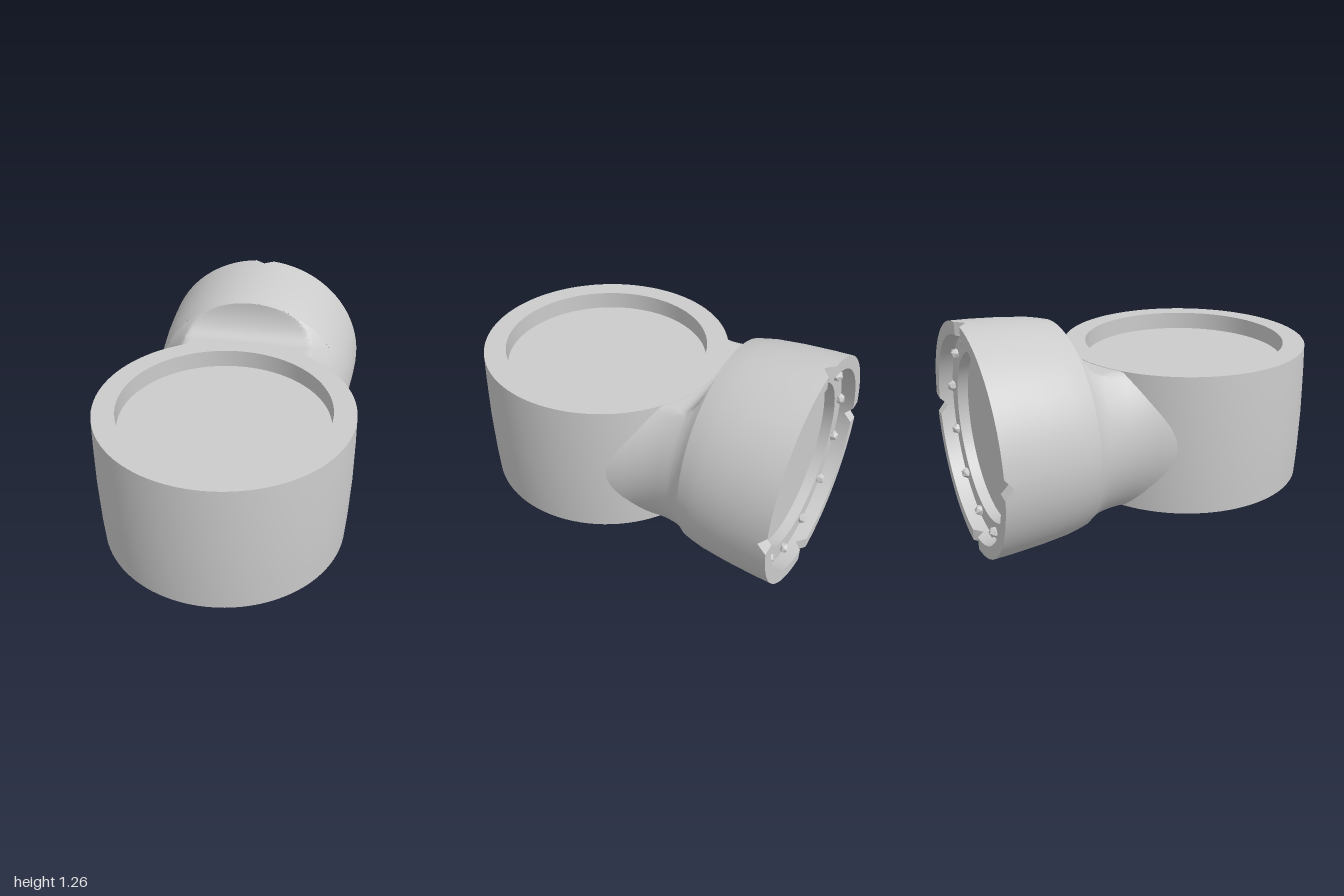
import * as THREE from 'three';
import { toCreasedNormals } from 'three/addons/utils/BufferGeometryUtils.js';

const CY = 0.633;      // height of the horizontal axis
const DRUM_Z = 0.302;  // centre of the upright drum

const material = () => new THREE.MeshStandardMaterial({ color: 0xcccccc });

function part(name, geometry, crease = 0.5) {
  const mesh = new THREE.Mesh(toCreasedNormals(geometry, crease), material());
  mesh.name = name;
  return mesh;
}

const profile = (pts) => pts.map(([r, h]) => new THREE.Vector2(r, h));

// Upright drum with a shallow round recess in its top
function makeDrum() {
  const g = new THREE.LatheGeometry(profile([
    [0, 0.248], [0.683, 0.248], [0.69, 0.4], [0.694, 0.63], [0.69, 0.87], [0.685, 1.016],
    [0.565, 1.016], [0.565, 0.915], [0, 0.915],
  ]), 96);
  g.translate(0, 0, DRUM_Z);
  return part('drum', g);
}

// Flared collar facing back: rim, bolt ledge and sunken plate
function makeCollar() {
  const g = new THREE.LatheGeometry(profile([
    [0.577, 0.49], [0.59, 0.54], [0.602, 0.6], [0.617, 0.74], [0.627, 0.9], [0.63, 1],
    [0.56, 1], [0.56, 0.92], [0.46, 0.92], [0.46, 0.86], [0, 0.86],
  ]), 144);
  g.rotateX(-Math.PI / 2);
  // V notches in the rim at the four quarter points
  const p = g.attributes.position;
  const quarter = Math.PI / 2, half = 0.0873;
  for (let i = 0; i < p.count; i++) {
    if (p.getZ(i) > -0.999) continue;
    const a = Math.atan2(p.getY(i), p.getX(i));
    const d = Math.abs(a - Math.round(a / quarter) * quarter);
    p.setZ(i, -1 + 0.045 * Math.max(0, 1 - d / half));
  }
  g.translate(0, CY, 0);
  return part('collar', g);
}

// Neck: circular sections cut flat above and below, flaring into the collar
function makeNeck() {
  const waist = new THREE.SplineCurve(profile([
    [0.05, 0.625], [0, 0.612], [-0.1, 0.575], [-0.2, 0.544], [-0.3, 0.53],
    [-0.4, 0.537], [-0.45, 0.552], [-0.49, 0.577],
  ]));
  const rows = 40, cols = 120, pos = [], index = [];
  for (let i = 0; i <= rows; i++) {
    const { x: z, y: radius } = waist.getPoint(1 - (1 - i / rows) ** 1.5);
    const t = THREE.MathUtils.clamp((-0.38 - z) / 0.11, 0, 1);
    const flat = 0.381 + 0.196 * (1 - Math.sqrt(1 - t * t));
    for (let j = 0; j <= cols; j++) {
      const a = (j / cols) * Math.PI * 2;
      const x = radius * Math.cos(a);
      let y = CY + THREE.MathUtils.clamp(radius * Math.sin(a), -flat, flat);
      // Stay below the floor of the drum recess
      if (Math.hypot(x, z - DRUM_Z) < 0.63) y = Math.min(y, 0.9);
      pos.push(x, y, z);
      if (i < rows && j < cols) {
        const k = i * (cols + 1) + j, n = k + cols + 1;
        index.push(k, n, k + 1, k + 1, n, n + 1);
      }
    }
  }
  const g = new THREE.BufferGeometry();
  g.setAttribute('position', new THREE.Float32BufferAttribute(pos, 3));
  g.setIndex(index);
  return part('neck', g, 0.6);
}

// Ring of twelve faceted bolts on the collar ledge
function makeBolts() {
  const bolts = new THREE.Group();
  bolts.name = 'bolts';
  const g = new THREE.IcosahedronGeometry(0.032, 0);
  const m = material();
  m.flatShading = true;
  for (let i = 0; i < 12; i++) {
    const a = ((i + 0.5) / 12) * Math.PI * 2;
    const bolt = new THREE.Mesh(g, m);
    bolt.name = 'bolt';
    bolt.position.set(0.515 * Math.cos(a), CY + 0.515 * Math.sin(a), -0.93);
    bolt.rotation.z = a;
    bolts.add(bolt);
  }
  return bolts;
}

export function createModel() {
  const model = new THREE.Group();
  model.name = 'pipeElbow';
  model.add(makeDrum(), makeNeck(), makeCollar(), makeBolts());
  return model;
}
